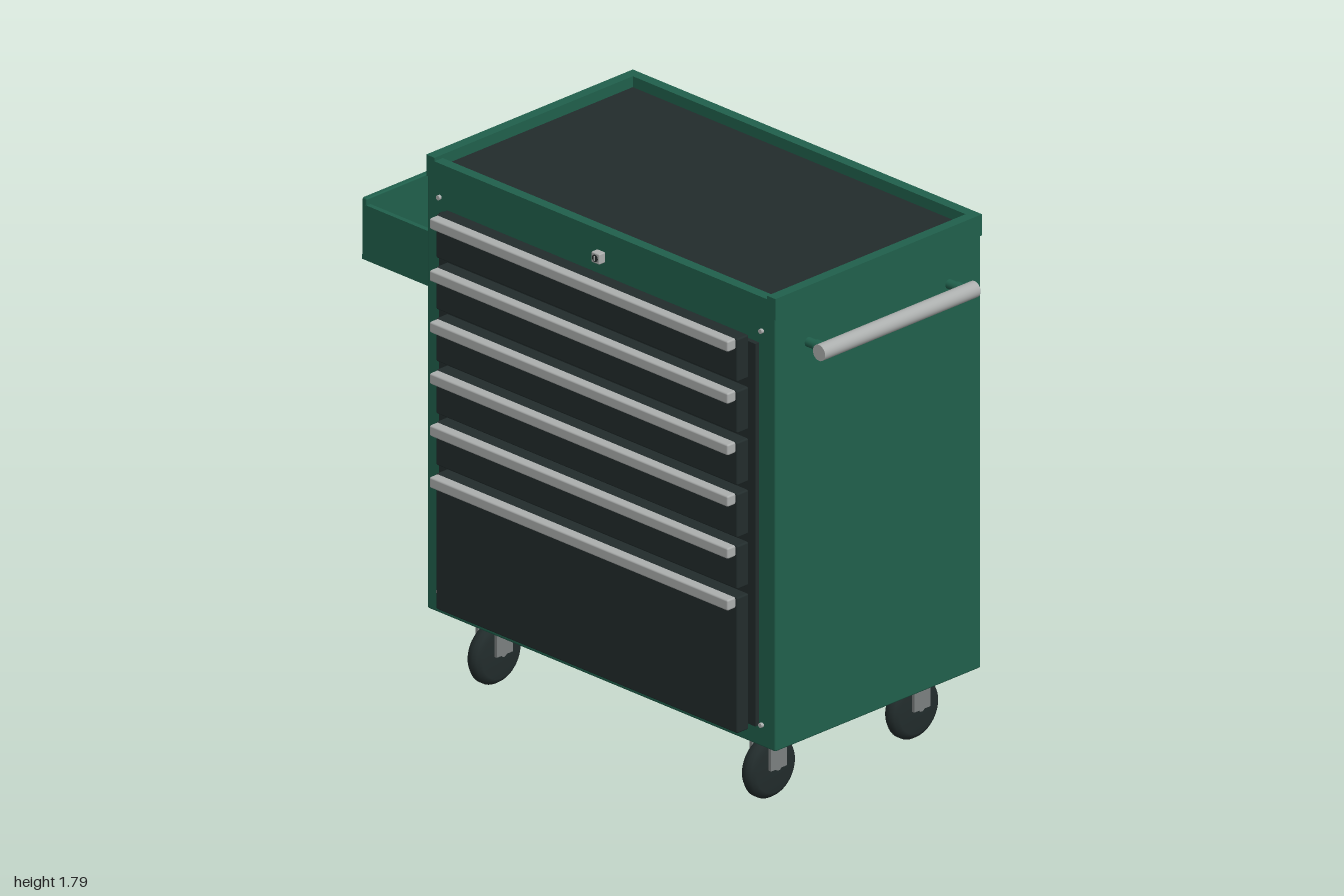
import * as THREE from 'three';
import { RoundedBoxGeometry } from 'three/addons/geometries/RoundedBoxGeometry.js';

const paint = (name, color) => {
  const m = new THREE.MeshStandardMaterial({ color });
  m.name = name;
  return m;
};

export function createModel() {
  const green = paint('green paint', 0x20604c);
  const dark = paint('black rubber', 0x222c2c);
  const silver = paint('brushed aluminium', 0xacafae);
  const steel = paint('caster steel', 0x7b8080);
  const hubGrey = paint('hub grey', 0x4c4f52);

  const model = new THREE.Group();
  model.name = 'toolCabinet';

  const add = (parent, name, geometry, material, x = 0, y = 0, z = 0) => {
    const mesh = new THREE.Mesh(geometry, material);
    mesh.name = name;
    mesh.position.set(x, y, z);
    parent.add(mesh);
    return mesh;
  };
  // Box given by its limits on each axis, with optional rounded edges
  const block = (parent, name, material, [x0, x1], [y0, y1], [z0, z1], r = 0) => {
    const s = [x1 - x0, y1 - y0, z1 - z0];
    const g = r ? new RoundedBoxGeometry(...s, 2, r) : new THREE.BoxGeometry(...s);
    return add(parent, name, g, material, (x0 + x1) / 2, (y0 + y1) / 2, (z0 + z1) / 2);
  };
  const group = (name, x = 0, y = 0, z = 0) => {
    const g = new THREE.Group();
    g.name = name;
    g.position.set(x, y, z);
    model.add(g);
    return g;
  };

  // Cabinet body and the rimmed top
  const L = -0.645, R = 0.887, B = -0.5, F = 0.403, rim = 0.036;
  block(model, 'cabinetBody', green, [L + 0.002, R - 0.002], [0.245, 1.72], [B + 0.002, F - 0.002], 0.006);
  const top = group('topTray');
  block(top, 'topDeck', green, [L, R], [1.715, 1.735], [B, F]);
  block(top, 'topMat', dark, [L + rim, R - rim], [1.735, 1.75], [B + rim, F - rim]);
  block(top, 'sideRim', green, [L, L + rim], [1.735, 1.787], [B, F]);
  block(top, 'sideRim', green, [R - rim, R], [1.735, 1.787], [B, F]);
  block(top, 'backRim', green, [L + rim, R - rim], [1.735, 1.787], [B, B + rim]);
  block(top, 'frontRim', green, [L + rim, R - rim], [1.735, 1.775], [F - rim, F]);

  // Drawer bay with drawers and full-width pulls
  block(model, 'drawerBay', dark, [-0.574, 0.814], [0.315, 1.616], [0.39, 0.418]);
  const drawers = [[1.49, 1.637], [1.315, 1.46], [1.138, 1.285], [0.96, 1.11], [0.785, 0.933], [0.295, 0.757]];
  for (const [y0, y1] of drawers) {
    const drawer = group('drawer');
    block(drawer, 'drawerFront', dark, [-0.54, 0.783], [y0, y1], [0.415, 0.466], 0.006);
    block(drawer, 'drawerPull', silver, [-0.535, 0.775], [y1 - 0.037, y1], [0.463, 0.5], 0.006);
  }

  // Screws in the face corners
  const screw = new THREE.CylinderGeometry(0.008, 0.008, 0.01, 12).rotateX(Math.PI / 2);
  for (const x of [-0.587, 0.827]) for (const y of [0.32, 1.66]) add(model, 'screw', screw, silver, x, y, 0.406);

  // Lock
  const lock = group('lock', 0.121, 1.688, 0);
  block(lock, 'lockBody', silver, [-0.018, 0.018], [-0.018, 0.018], [0.4, 0.428], 0.004);
  add(lock, 'lockRing', new THREE.CylinderGeometry(0.012, 0.012, 0.004, 16).rotateX(Math.PI / 2), dark, 0, 0, 0.428);
  block(lock, 'keySlot', silver, [-0.002, 0.002], [-0.008, 0.008], [0.428, 0.432]);

  // Push handle on the left side
  const handle = group('pushHandle', 0, 1.595, 0);
  add(handle, 'handleBar', new THREE.CylinderGeometry(0.027, 0.027, 0.68, 24).rotateX(Math.PI / 2), silver, 0.968, 0, -0.047);
  for (const z of [0.257, -0.358]) {
    add(handle, 'handlePost', new THREE.CylinderGeometry(0.016, 0.016, 0.08, 16).rotateZ(Math.PI / 2), green, 0.915, 0, z);
    add(handle, 'handleCollar', new THREE.CylinderGeometry(0.019, 0.019, 0.03, 16).rotateZ(Math.PI / 2), green, 0.935, 0, z);
  }

  // Open side tray with its two mounting posts
  const tray = group('sideTray');
  block(tray, 'trayFloor', green, [-1, L], [1.295, 1.31], [-0.435, 0.33]);
  block(tray, 'trayOuterWall', green, [-1, -0.98], [1.295, 1.505], [-0.435, 0.33], 0.005);
  block(tray, 'trayEndWall', green, [-0.99, L], [1.295, 1.482], [0.313, 0.33]);
  block(tray, 'trayEndWall', green, [-0.99, L], [1.295, 1.482], [-0.435, -0.418]);
  for (const z of [0.215, -0.32]) block(tray, 'trayPost', green, [-0.69, L], [1.3, 1.51], [z - 0.03, z + 0.03], 0.008);

  // Casters
  const tyre = new THREE.LatheGeometry(
    [[0, -0.03], [0.08, -0.03], [0.096, -0.02], [0.104, -0.008], [0.104, 0.008], [0.096, 0.02], [0.08, 0.03], [0, 0.03]]
      .map(([r, y]) => new THREE.Vector2(r, y)), 40).rotateZ(-Math.PI / 2);
  for (const x of [-0.483, 0.721]) for (const z of [0.268, -0.358]) {
    const caster = group('caster', x, 0, z);
    add(caster, 'wheel', tyre, dark, 0, 0.104, 0);
    add(caster, 'hubDisc', new THREE.CylinderGeometry(0.072, 0.072, 0.006, 32).rotateZ(Math.PI / 2), hubGrey, -0.03, 0.104, 0);
    add(caster, 'axle', new THREE.CylinderGeometry(0.013, 0.013, 0.09, 16).rotateZ(Math.PI / 2), steel, 0, 0.115, 0);
    block(caster, 'mountPlate', steel, [-0.053, 0.053], [0.232, 0.246], [-0.055, 0.055]);
    block(caster, 'forkBridge', steel, [-0.047, 0.047], [0.218, 0.233], [-0.035, 0.035]);
    block(caster, 'forkArm', steel, [-0.047, -0.036], [0.09, 0.23], [-0.035, 0.035]);
    block(caster, 'forkArm', steel, [0.036, 0.047], [0.11, 0.23], [-0.035, 0.035]);
  }

  return model;
}
